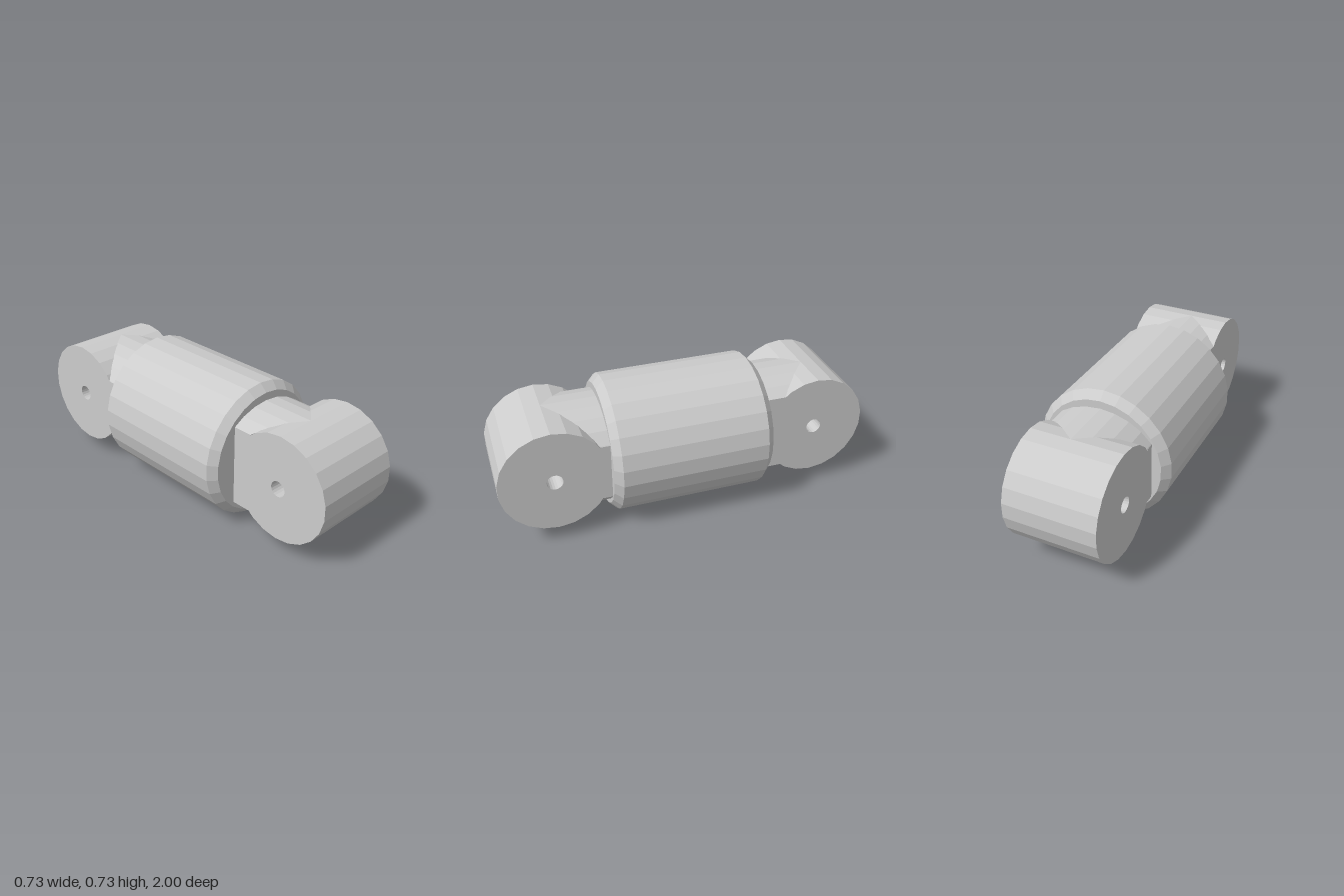
import * as THREE from 'three';

const CY = 0.37;                  // height of the main axis
const LUG_Z = 0.718, LUG_R = 0.285;
const X0 = -0.215, X1 = 0.275;    // side faces of an eye
const NECK_A = 0.33;              // half width of the elliptical neck

const material = new THREE.MeshStandardMaterial({ color: 0xcccccc, flatShading: true });

function part(name, geometry) {
  const mesh = new THREE.Mesh(geometry, material);
  mesh.name = name;
  return mesh;
}

// Chamfered barrel lying along z
function barrelGeometry() {
  const profile = [[0, -0.43], [0.327, -0.43], [0.367, -0.39], [0.367, 0.39], [0.327, 0.43], [0, 0.43]];
  const g = new THREE.LatheGeometry(profile.map(([r, y]) => new THREE.Vector2(r, y)), 26);
  return g.rotateX(Math.PI / 2);
}

// Offset eye: a drum across x with a pin hole
function eyeGeometry() {
  const n = 22, pts = [];
  for (let i = 0; i < n; i++) {
    const t = Math.PI / 2 + (i / n) * Math.PI * 2;
    pts.push(new THREE.Vector2(Math.cos(t) * LUG_R, Math.sin(t) * LUG_R));
  }
  const shape = new THREE.Shape(pts);
  const hole = new THREE.Path();
  hole.absarc(0, 0, 0.042, 0, Math.PI * 2, true);
  shape.holes.push(hole);
  const g = new THREE.ExtrudeGeometry(shape, { depth: X1 - X0, bevelEnabled: false, curveSegments: 10 });
  return g.rotateY(Math.PI / 2).translate(X0, 0, LUG_Z);
}

// Elliptical neck, cut flush with the eye's sides and mitred where it meets the drum
function neckGeometry() {
  const xs = [X1];
  for (let i = 6; i >= -6; i--) {
    const x = NECK_A * Math.sin((i / 26) * Math.PI * 2);
    if (x > X0 && x < X1) xs.push(x);
  }
  xs.push(X0);
  const height = x => LUG_R * Math.sqrt(1 - (x / NECK_A) ** 2);
  const loop = [...xs.map(x => [x, height(x)]), ...xs.slice().reverse().map(x => [x, -height(x)])];
  const pos = [], index = [], n = loop.length;
  loop.forEach(([x, y], i) => {
    pos.push(x, y, 0.41, x, y, LUG_Z - LUG_R * Math.abs(x) / NECK_A);
    const a = 2 * i, b = 2 * ((i + 1) % n);
    index.push(a, b, b + 1, a, b + 1, a + 1);
  });
  const g = new THREE.BufferGeometry();
  g.setAttribute('position', new THREE.Float32BufferAttribute(pos, 3));
  g.setIndex(index);
  g.computeVertexNormals();
  return g;
}

export function createModel() {
  const model = new THREE.Group();
  model.name = 'doubleEyeLink';

  const barrel = part('barrel', barrelGeometry());
  barrel.position.y = CY;
  model.add(barrel);

  // The rear end is the front end turned half a circle
  for (const [name, turn] of [['front', 0], ['rear', Math.PI]]) {
    const end = new THREE.Group();
    end.name = name + 'End';
    end.add(part(name + 'Eye', eyeGeometry()), part(name + 'Neck', neckGeometry()));
    end.position.y = CY;
    end.rotation.y = turn;
    model.add(end);
  }
  return model;
}
